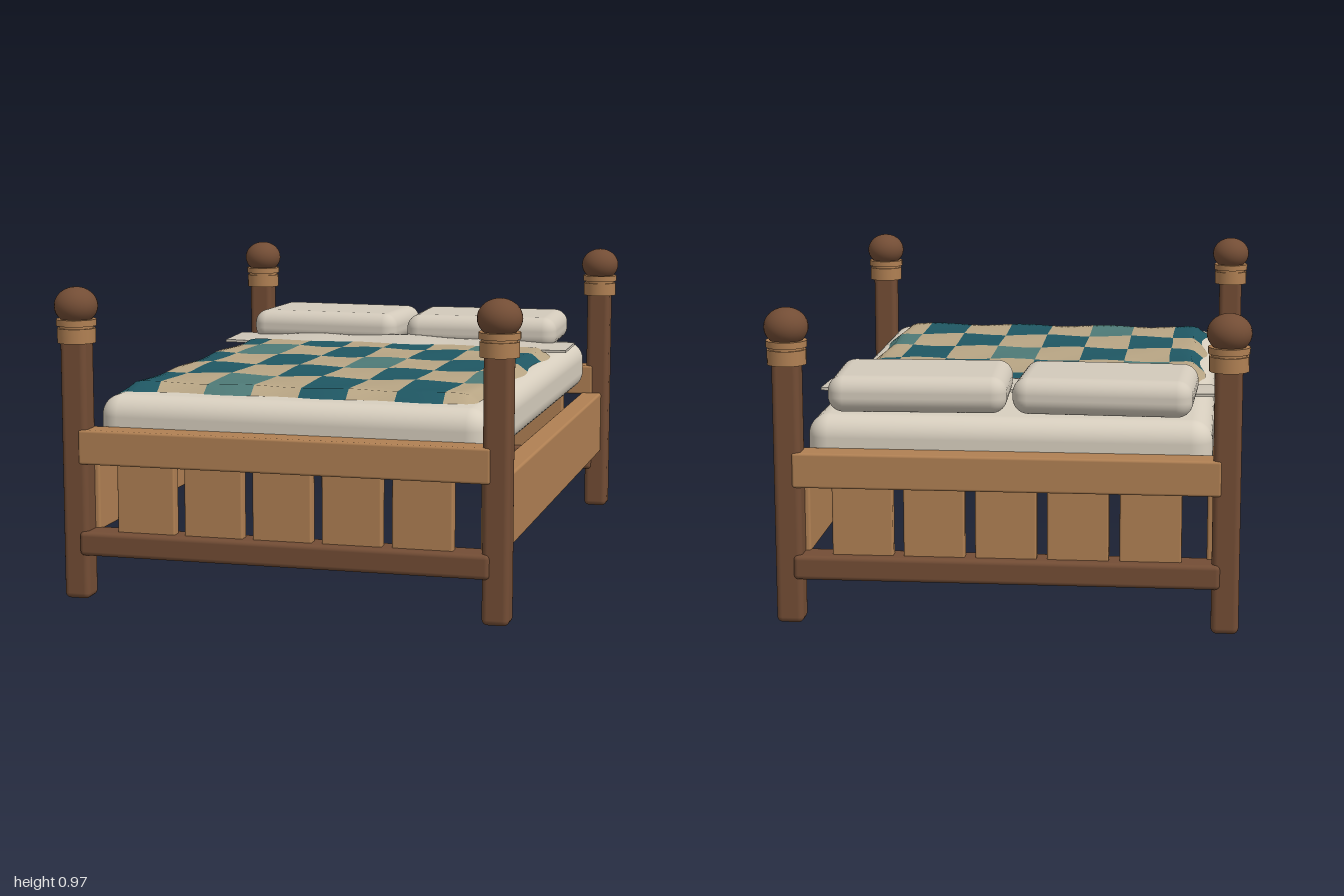
import * as THREE from 'three';
import { RoundedBoxGeometry } from 'three/addons/geometries/RoundedBoxGeometry.js';

const paint = (name, color, side = THREE.FrontSide) => {
  const m = new THREE.MeshStandardMaterial({ color, side });
  m.name = name;
  return m;
};

export function createModel() {
  const darkWood = paint('dark wood', 0x734d35);
  const lightWood = paint('light wood', 0xb08053);
  const cream = paint('cream mattress', 0xd8cfbf);
  const linen = paint('pillow linen', 0xd3cabb);
  const sheet = paint('folded sheet', 0xcdc5b7);
  const tan = paint('tan patch', 0xb8a584, THREE.DoubleSide);
  const teal = paint('teal patch', 0x1f5763, THREE.DoubleSide);
  const paleTeal = paint('pale teal patch', 0x4e7a77, THREE.DoubleSide);

  const bed = new THREE.Group();
  bed.name = 'bed';
  const add = (parent, name, geometry, material, x = 0, y = 0, z = 0) => {
    const mesh = new THREE.Mesh(geometry, material);
    mesh.name = name;
    mesh.position.set(x, y, z);
    parent.add(mesh);
    return mesh;
  };
  const box = (w, h, d, r = 0.008) => new RoundedBoxGeometry(w, h, d, 3, r);

  // Corner posts with two collars and a squashed ball finial
  for (const sx of [-1, 1]) for (const sz of [-1, 1]) {
    const post = new THREE.Group();
    post.name = 'cornerPost';
    post.position.set(sx * 0.658, 0, sz * 0.933);
    bed.add(post);
    add(post, 'postShaft', box(0.083, 0.83, 0.083, 0.018), darkWood, 0, 0.42);
    add(post, 'lowerCollar', new THREE.CylinderGeometry(0.059, 0.059, 0.045, 24), lightWood, 0, 0.822);
    add(post, 'collarNeck', new THREE.CylinderGeometry(0.053, 0.053, 0.012, 24), lightWood, 0, 0.848);
    add(post, 'upperCollar', new THREE.CylinderGeometry(0.062, 0.062, 0.02, 24), lightWood, 0, 0.862);
    add(post, 'finial', new THREE.SphereGeometry(0.067, 28, 18), darkWood, 0, 0.912).scale.y = 0.87;
  }

  // Matching headboard and footboard: two rails with five slats between
  for (const [name, z] of [['footboard', 0.933], ['headboard', -0.933]]) {
    const board = new THREE.Group();
    board.name = name;
    board.position.z = z;
    bed.add(board);
    add(board, 'topRail', box(1.284, 0.107, 0.092), lightWood, 0, 0.482);
    add(board, 'bottomRail', box(1.284, 0.075, 0.104, 0.014), darkWood, 0, 0.182);
    for (let i = -2; i <= 2; i++) {
      add(board, 'slat', box(0.185, 0.24, 0.04, 0.006), lightWood, i * 0.217, 0.325);
    }
  }

  // Side rails
  for (const s of [-1, 1]) {
    add(bed, 'sideRail', box(0.074, 0.222, 1.82), lightWood, s * 0.638, 0.323);
  }

  // Mattress
  add(bed, 'mattress', new RoundedBoxGeometry(1.228, 0.176, 1.79, 6, 0.065), cream, 0, 0.543);

  // Pillows, turned slightly toward each other
  for (const s of [-1, 1]) {
    const pillow = add(bed, 'pillow', new RoundedBoxGeometry(0.545, 0.112, 0.376, 6, 0.048),
      linen, s * 0.286, 0.694, -0.688);
    pillow.rotation.y = s * 0.038;
  }

  // Turned-down sheet, a thin rippled slab
  const fold = new THREE.BoxGeometry(1.252, 0.009, 0.19, 48, 1, 10);
  const fp = fold.attributes.position;
  for (let i = 0; i < fp.count; i++) {
    const x = fp.getX(i), t = fp.getZ(i) / 0.19 + 0.5;
    const middle = 1 - (x / 0.626) ** 2;
    fp.setY(i, fp.getY(i) + 0.02 * Math.sin(Math.PI * t) * middle
      + 0.004 * Math.sin(x * 17 + 1) * middle + 0.006 * (1 - t));
    fp.setZ(i, fp.getZ(i) + 0.006 * t * middle * Math.sin(x * 21));
  }
  fold.computeVertexNormals();
  add(bed, 'foldedSheet', fold, sheet, 0, 0.65, -0.481);

  // Patchwork quilt: one soft surface, patches as material groups
  const xs = [-0.573, -0.456, -0.304, -0.152, 0, 0.152, 0.304, 0.456, 0.568];
  const zs = [-0.405, -0.254, 0, 0.254, 0.508, 0.79];
  const patches = [
    'T.T.T.p.',
    '.p.T.T.T',
    'T.T.p.T.',
    '.T.T.T.p',
    'T.p.T.T.',
  ];
  const n = 6;
  const cols = (xs.length - 1) * n, rows = (zs.length - 1) * n;
  const at = (list, k) => {
    const c = Math.min(Math.floor(k / n), list.length - 2);
    return THREE.MathUtils.lerp(list[c], list[c + 1], k / n - c);
  };
  const quilt = new THREE.PlaneGeometry(1, 1, cols, rows);
  const qp = quilt.attributes.position;
  for (let r = 0; r <= rows; r++) for (let c = 0; c <= cols; c++) {
    const x = at(xs, c), z = at(zs, r);
    const edge = Math.min(x - xs[0], xs[8] - x, zs[5] - z);
    const lift = THREE.MathUtils.smoothstep(edge, -0.015, 0.05);
    const sideWave = 0.008 * Math.sin(z * 15 + x) * Math.abs(x / 0.57) ** 6;
    const endWave = 0.009 * Math.sin(x * 20) * Math.abs((z - 0.19) / 0.6) ** 6;
    const ripple = 0.003 * Math.sin(x * 20 + z * 3) * Math.cos(z * 12) * lift;
    qp.setXYZ(r * (cols + 1) + c, x + sideWave, 0.618 + 0.041 * lift + ripple, z + endWave);
  }
  const buckets = { '.': [], T: [], p: [] };
  const src = quilt.index.array;
  for (let q = 0; q < rows * cols; q++) {
    const key = patches[Math.floor(q / cols / n)][Math.floor((q % cols) / n)];
    buckets[key].push(...src.slice(q * 6, q * 6 + 6));
  }
  const order = [];
  Object.values(buckets).forEach((list, i) => {
    quilt.addGroup(order.length, list.length, i);
    order.push(...list);
  });
  quilt.setIndex(order);
  quilt.computeVertexNormals();
  add(bed, 'patchworkQuilt', quilt, [tan, teal, paleTeal]);

  return bed;
}
